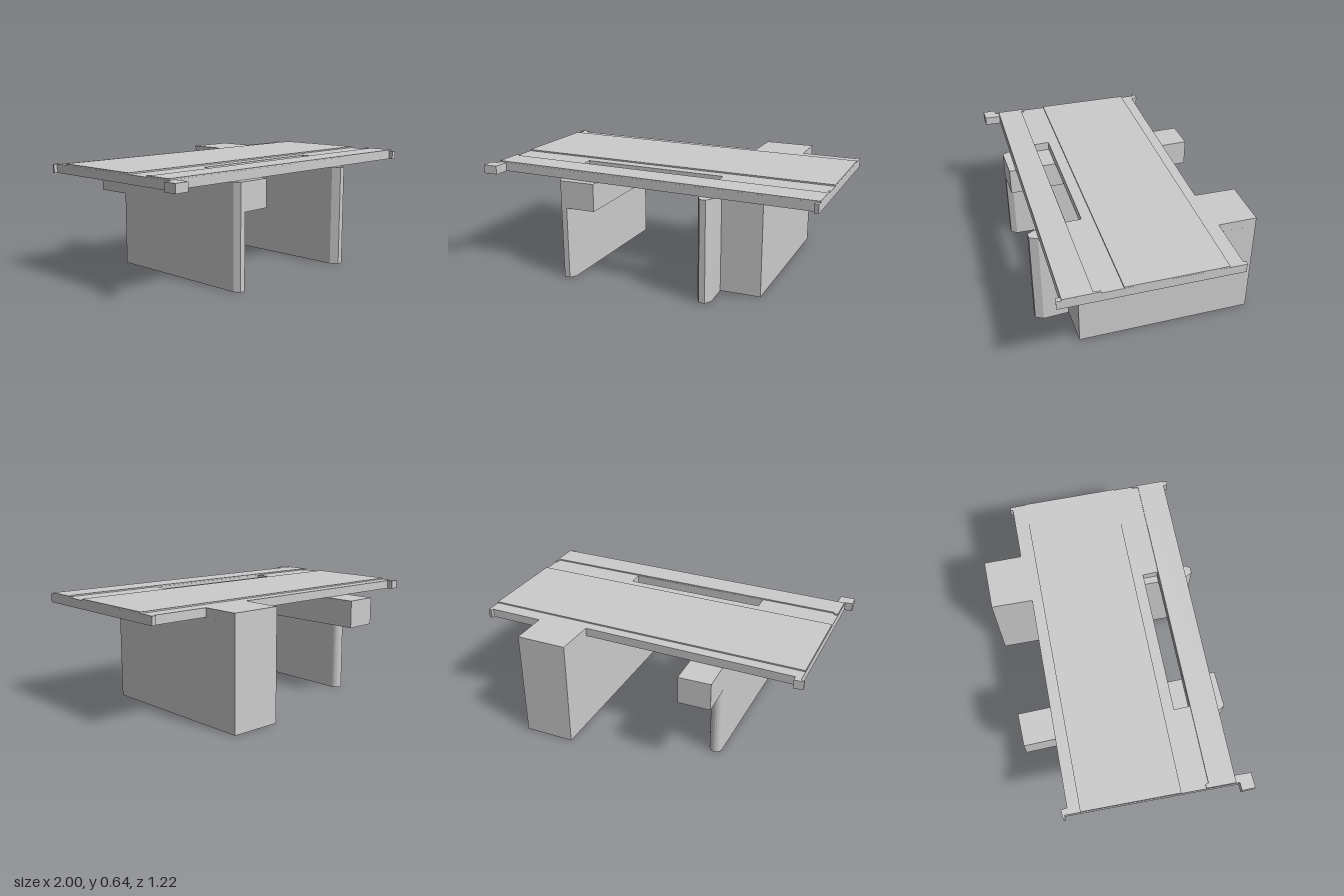
import * as THREE from 'three';

export function createModel() {
  const group = new THREE.Group();
  const material = new THREE.MeshStandardMaterial({ color: 0xcccccc, flatShading: true });
  const toVectors = pts => pts.map(([x, z]) => new THREE.Vector2(x, -z));

  // Upright prism from a plan outline of [x, z] corners between two heights
  function slab(name, pts, y0, y1, hole) {
    const shape = new THREE.Shape(toVectors(pts));
    if (hole) shape.holes.push(new THREE.Path(toVectors(hole)));
    const geo = new THREE.ExtrudeGeometry(shape, { depth: y1 - y0, bevelEnabled: false });
    geo.rotateX(-Math.PI / 2).translate(0, y0, 0);
    const mesh = new THREE.Mesh(geo, material);
    mesh.name = name;
    group.add(mesh);
  }

  const under = 0.585, top = 0.635, raised = 0.643;

  // Skewed deck with small corner tabs and a long slot in its channel
  slab('deck', [
    [-0.955, 0.505], [-0.955, 0.525], [-1, 0.525], [-1, 0.6], [-0.915, 0.6], [-0.91, 0.508],
    [0.945, 0.576], [0.945, 0.6], [0.97, 0.605], [0.972, 0.577],
    [0.997, -0.383], [0.977, -0.388], [0.973, -0.372], [0.65, -0.383], [0.35, -0.37],
    [-0.885, -0.415], [-0.885, -0.45], [-0.94, -0.446], [-0.94, -0.435], [-0.92, -0.435],
  ], under, top, [[-0.48, 0.28], [0.37, 0.307], [0.37, 0.395], [-0.48, 0.37]]);

  // Raised surfaces on either side of the channel
  slab('mainDeckSurface', [
    [-0.922, -0.35], [0.994, -0.29], [0.98, 0.265], [-0.942, 0.202],
  ], top, raised);
  slab('frontDeckSurface', [
    [-0.947, 0.34], [-0.925, 0.34], [-0.922, 0.357], [0.965, 0.418], [0.967, 0.38],
    [0.977, 0.38], [0.972, 0.577], [-0.953, 0.505],
  ], top, raised);

  // Wide pier with a narrow chamfered nose at the front
  slab('widePier', [
    [0.36, -0.61], [0.655, -0.604], [0.635, 0.41], [0.4, 0.41],
    [0.405, 0.56], [0.38, 0.605], [0.345, 0.605], [0.322, 0.56],
  ], 0, under);
  slab('widePierHead', [
    [0.36, -0.61], [0.655, -0.604], [0.65, -0.37], [0.35, -0.36],
  ], under, top);

  // Slim pier wall with a rounded back end
  const slim = [[-0.525, 0.535], [-0.508, 0.57], [-0.475, 0.57], [-0.45, 0.535]];
  for (let i = 0; i <= 10; i++) {
    const a = (i / 10) * Math.PI;
    slim.push([-0.453 + 0.037 * Math.cos(a), -0.35 - 0.037 * Math.sin(a)]);
  }
  slab('slimPier', slim, 0, under);

  // Cross beam resting along the slim pier
  slab('pierBeam', [
    [-0.488, -0.58], [-0.3, -0.58], [-0.3, 0.57], [-0.488, 0.57],
  ], 0.425, under);

  return group;
}
